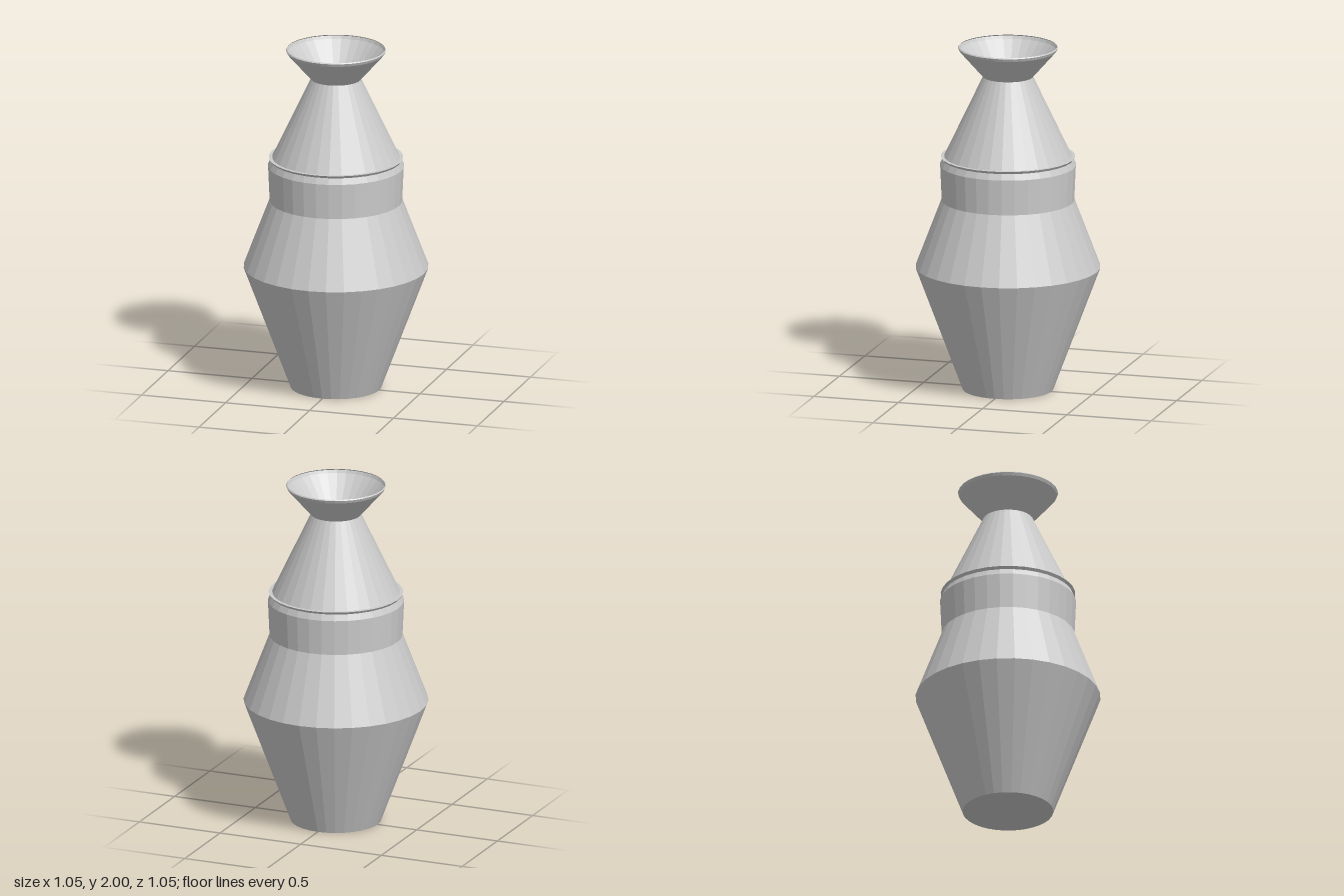
import * as THREE from 'three';

const SIDES = 32;
const material = new THREE.MeshStandardMaterial({
  color: 0xcccccc, flatShading: true, side: THREE.DoubleSide,
});

// Faceted ring of wall from [radius, height] points, listed bottom to top
function turned(name, profile) {
  const points = profile.map(([r, y]) => new THREE.Vector2(r, y));
  const mesh = new THREE.Mesh(new THREE.LatheGeometry(points, SIDES), material);
  mesh.name = name;
  return mesh;
}

export function createModel() {
  const vase = new THREE.Group();
  vase.name = 'vase';

  vase.add(
    // Closed base and the widening and narrowing belly
    turned('belly', [[0, 0], [0.258, 0], [0.526, 0.715], [0.378, 1.105]]),
    // Near-straight band with a bevelled top
    turned('band', [[0.378, 1.105], [0.387, 1.31], [0.372, 1.345]]),
    // Thin overhanging lip with a flat ledge
    turned('collarLip', [[0.372, 1.345], [0.383, 1.36], [0.363, 1.36]]),
    // Tapering shoulder, open at the neck
    turned('shoulder', [[0.363, 1.36], [0.142, 1.825]]),
    // Flared thin-walled mouth with a small turned rim
    turned('mouth', [[0.142, 1.825], [0.276, 1.977], [0.284, 1.994], [0.279, 2]]),
  );
  return vase;
}
